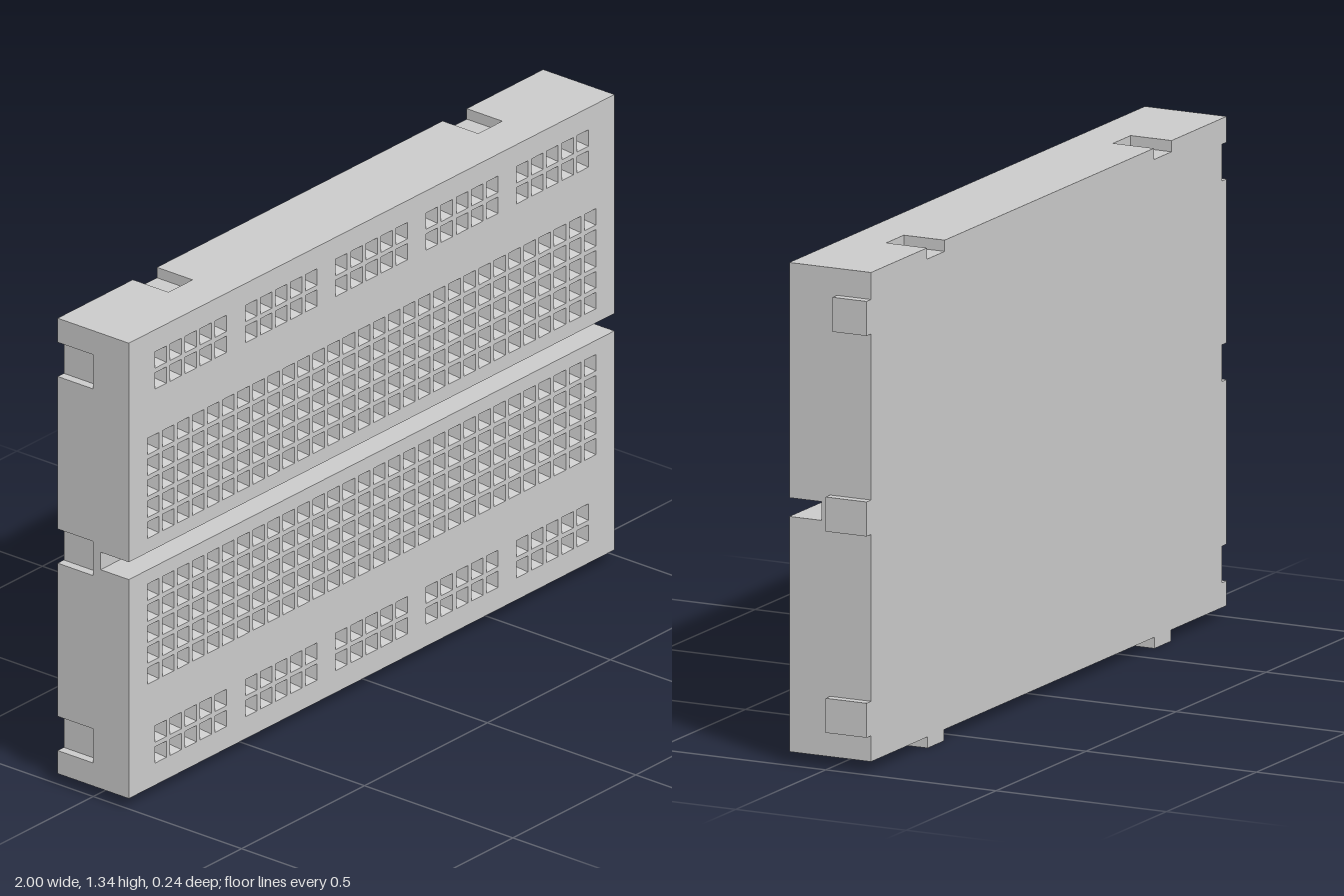
import * as THREE from 'three';

const material = new THREE.MeshStandardMaterial({ color: 0xcccccc, flatShading: true });

// Overall extents
const X0 = -1, X1 = 0.975, Y0 = 0.03, Y1 = 1.335, BACK = -0.12, FRONT = 0.12;
const CX = (X0 + X1) / 2, CY = (Y0 + Y1) / 2;
const GROOVE_HALF = 0.025, GROOVE_FLOOR = 0.025, SLOT_FRONT = 0;
const PITCH_X = 0.0613, PITCH_Y = 0.06, HOLE = 0.047, SHAFT = 0.021;

// Positions of connector tabs and matching slots
const SIDE_Y = [0.145, 0.682, 1.217], EDGE_X = [-0.645, 0.615];
const TAB = 0.092, SLOT = 0.098, SIDE_DEPTH = 0.025, EDGE_DEPTH = 0.03;

function add(group, name, geometry) {
  const mesh = new THREE.Mesh(geometry, material);
  mesh.name = name;
  group.add(mesh);
}

function box(x0, x1, y0, y1, z0, z1) {
  return new THREE.BoxGeometry(x1 - x0, y1 - y0, z1 - z0)
    .translate((x0 + x1) / 2, (y0 + y1) / 2, (z0 + z1) / 2);
}

function polygon(points) {
  return points.map(([x, y]) => new THREE.Vector2(x, y));
}

// Socket centres for one half; s = 1 upper, -1 lower
function socketCentres(s) {
  const centres = [];
  for (let row = 0; row < 5; row++) {
    for (let col = 0; col < 30; col++) {
      centres.push([CX + (col - 14.5) * PITCH_X, CY + s * (0.089 + row * PITCH_Y)]);
    }
  }
  // Power rails: five groups of five, two rows
  for (let row = 0; row < 2; row++) {
    for (let col = 0; col < 29; col++) {
      if (col % 6 === 5) continue;
      centres.push([CX + (col - 14) * PITCH_X, CY + s * (0.506 + row * PITCH_Y)]);
    }
  }
  return centres;
}

// Front block with sockets that taper into narrow shafts
function socketBlock(s) {
  const ya = s > 0 ? CY + GROOVE_HALF : Y0;
  const yb = s > 0 ? Y1 : CY - GROOVE_HALF;
  const centres = socketCentres(s);
  const shape = new THREE.Shape(polygon([[X0, ya], [X1, ya], [X1, yb], [X0, yb]]));
  const h = HOLE / 2;
  for (const [x, y] of centres) {
    shape.holes.push(new THREE.Path(polygon([
      [x - h, y - h], [x - h, y + h], [x + h, y + h], [x + h, y - h]])));
  }
  const depth = FRONT - GROOVE_FLOOR;
  const geometry = new THREE.ExtrudeGeometry(shape, { depth, steps: 2, bevelEnabled: false });

  // Shrink every socket corner behind the front face toward its centre
  const p = geometry.attributes.position;
  for (let i = 0; i < p.count; i++) {
    if (p.getZ(i) > depth - 0.001) continue;
    const x = p.getX(i), y = p.getY(i);
    const c = centres.find(([cx, cy]) => Math.abs(x - cx) < h + 0.001 && Math.abs(y - cy) < h + 0.001);
    if (c) {
      p.setX(i, c[0] + (x - c[0]) * SHAFT / HOLE);
      p.setY(i, c[1] + (y - c[1]) * SHAFT / HOLE);
    }
  }
  geometry.computeVertexNormals();
  return geometry.translate(0, 0, GROOVE_FLOOR);
}

// Back slab, notched along its top and one side
function backSlab() {
  const pts = [[X0, Y0], [X1, Y0], [X1, Y1]];
  const r = SLOT / 2;
  for (const x of [...EDGE_X].reverse()) {
    const d = Y1 - EDGE_DEPTH;
    pts.push([x + r, Y1], [x + r, d], [x - r, d], [x - r, Y1]);
  }
  pts.push([X0, Y1]);
  for (const y of [...SIDE_Y].reverse()) {
    const d = X0 + SIDE_DEPTH;
    pts.push([X0, y + r], [d, y + r], [d, y - r], [X0, y - r]);
  }
  return new THREE.ExtrudeGeometry(new THREE.Shape(polygon(pts)),
    { depth: SLOT_FRONT - BACK, bevelEnabled: false }).translate(0, 0, BACK);
}

export function createModel() {
  const model = new THREE.Group();
  model.name = 'breadboard';

  add(model, 'backSlab', backSlab());
  add(model, 'grooveFloor', box(X0, X1, Y0, Y1, SLOT_FRONT, GROOVE_FLOOR));
  add(model, 'upperSocketBlock', socketBlock(1));
  add(model, 'lowerSocketBlock', socketBlock(-1));

  // Connector tabs on the left side and the bottom edge
  const t = TAB / 2;
  SIDE_Y.forEach((y, i) => {
    add(model, 'sideTab', box(X1, 1, y - t, y + t, BACK, i === 2 ? -0.02 : SLOT_FRONT));
  });
  for (const x of EDGE_X) {
    add(model, 'bottomTab', box(x - t, x + t, 0, Y0, BACK, SLOT_FRONT));
  }
  return model;
}
